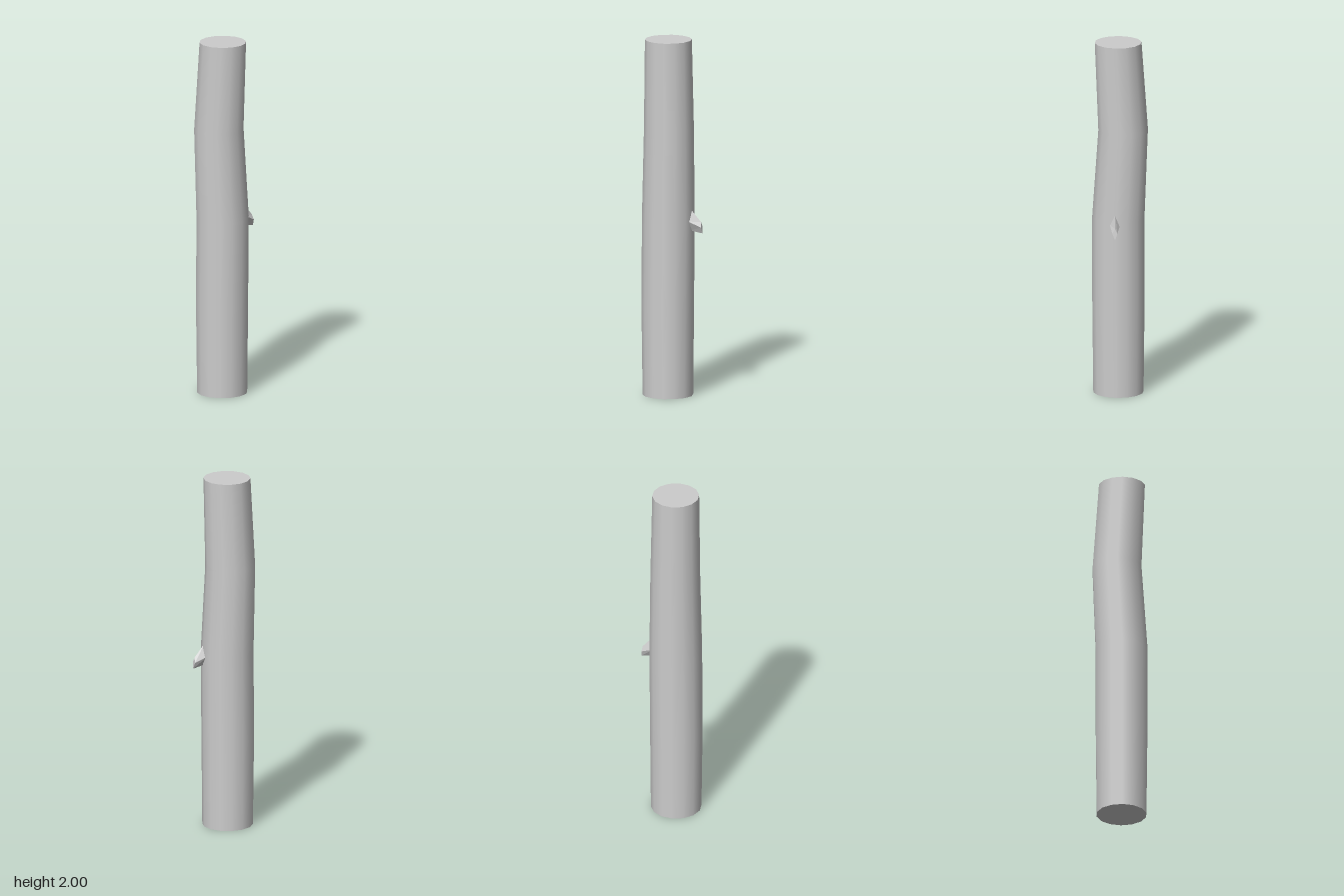
import * as THREE from 'three';

// Trunk rings from bottom to top, every 0.5: [centre x, centre z, radius]
const RINGS = [
  [0.008, 0.030, 0.140],
  [0.008, 0.031, 0.1455],
  [0.009, 0.0275, 0.146],
  [-0.018, 0.029, 0.138],
  [0.010, 0.027, 0.130],
];

function makeTrunk(material) {
  const geometry = new THREE.CylinderGeometry(1, 1, 2, 14, RINGS.length - 1);
  geometry.rotateY(Math.PI / 2).translate(0, 1, 0);
  const p = geometry.attributes.position;
  for (let i = 0; i < p.count; i++) {
    const [cx, cz, r] = RINGS[Math.round(p.getY(i) / 0.5)];
    p.setX(i, cx + p.getX(i) * r);
    p.setZ(i, cz + p.getZ(i) * r);
  }
  const mesh = new THREE.Mesh(geometry, material);
  mesh.name = 'trunk';
  return mesh;
}

// Short four-sided twig stump, lofted between two diamond sections
function makeTwig() {
  const base = [[0.043, 1.06, -0.1], [0.072, 0.99, -0.095], [0.045, 0.935, -0.1], [0.014, 0.99, -0.1]];
  const tip = [[0.051, 0.985, -0.164], [0.066, 0.957, -0.165], [0.052, 0.922, -0.172], [0.039, 0.957, -0.17]];
  const indices = [];
  for (let i = 0; i < 4; i++) {
    const j = (i + 1) % 4;
    indices.push(i, 4 + i, j, j, 4 + i, 4 + j);
  }
  indices.push(4, 7, 6, 4, 6, 5); // cut end
  const geometry = new THREE.BufferGeometry();
  geometry.setAttribute('position', new THREE.Float32BufferAttribute([...base, ...tip].flat(), 3));
  geometry.setIndex(indices);
  geometry.computeVertexNormals();
  const mesh = new THREE.Mesh(geometry, new THREE.MeshStandardMaterial({
    color: 0xcccccc, flatShading: true, side: THREE.DoubleSide,
  }));
  mesh.name = 'twigStump';
  return mesh;
}

export function createModel() {
  const model = new THREE.Group();
  model.name = 'log';
  model.add(makeTrunk(new THREE.MeshStandardMaterial({ color: 0xcccccc })), makeTwig());
  return model;
}
